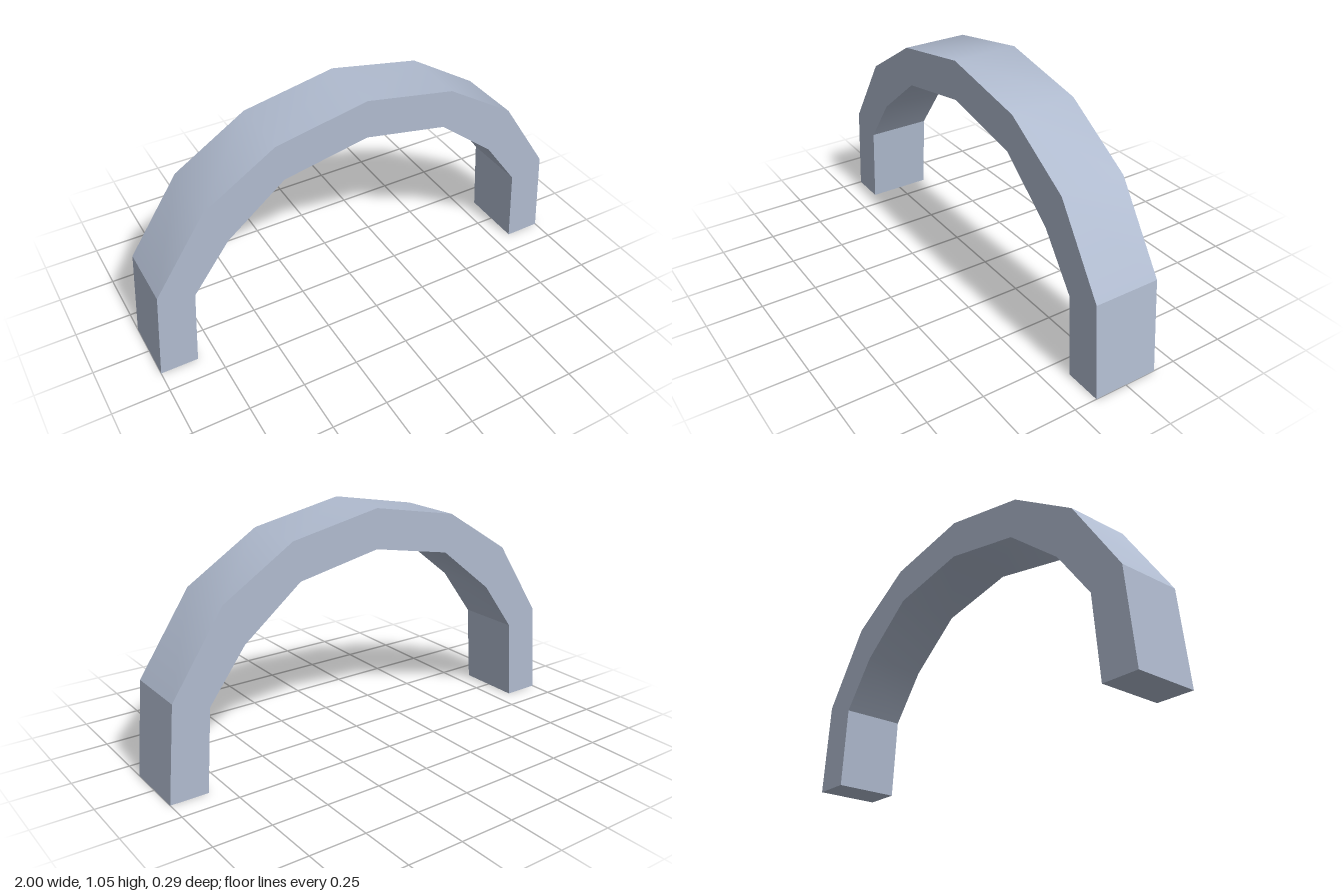
import * as THREE from 'three';

const HALF_DEPTH = 0.147;

// Right-hand half profiles, from foot to crown
const OUTER = [[1, 0], [0.963, 0.42], [0.732, 0.767], [0.411, 0.968], [0, 1.047]];
const INNER = [[0.833, 0], [0.806, 0.366], [0.642, 0.588], [0.38, 0.798], [0, 0.872]];

// Mirror a half profile into a full arch running from +x to -x
const fullArch = (half) => [...half, ...half.slice(0, -1).reverse().map(([x, y]) => [-x, y])];

// Band swept through the depth, smooth along its own points
function band(points) {
  const positions = [];
  const index = [];
  points.forEach(([x, y], i) => {
    positions.push(x, y, HALF_DEPTH, x, y, -HALF_DEPTH);
    if (i < points.length - 1) {
      const a = i * 2;
      index.push(a, a + 1, a + 2, a + 1, a + 3, a + 2);
    }
  });
  const geometry = new THREE.BufferGeometry();
  geometry.setAttribute('position', new THREE.Float32BufferAttribute(positions, 3));
  geometry.setIndex(index);
  geometry.computeVertexNormals();
  return geometry;
}

export function createModel() {
  const group = new THREE.Group();
  group.name = 'arch';
  const stone = new THREE.MeshStandardMaterial({ color: 0xb0bbcf });
  stone.name = 'blueGrey';

  const add = (name, geometry) => {
    const mesh = new THREE.Mesh(geometry, stone);
    mesh.name = name;
    group.add(mesh);
    return mesh;
  };

  const outer = fullArch(OUTER);
  const inner = fullArch(INNER).reverse();
  const last = outer.length - 1;

  // Curved crown, with a hard edge where each straight leg begins
  for (const [side, line] of [['outer', outer], ['inner', inner]]) {
    add(side + 'Crown', band(line.slice(1, -1)));
    add(side + 'LegStart', band(line.slice(0, 2)));
    add(side + 'LegEnd', band(line.slice(-2)));
  }

  // Undersides of the feet
  add('rightFoot', band([outer[last], inner[0]]));
  add('leftFoot', band([inner[last], outer[0]]));

  // Flat front and back faces
  const outline = [...outer, ...inner].map(([x, y]) => new THREE.Vector2(x, y));
  const face = new THREE.ShapeGeometry(new THREE.Shape(outline));
  add('frontFace', face).position.z = HALF_DEPTH;
  const back = add('backFace', face);
  back.position.z = -HALF_DEPTH;
  back.rotation.y = Math.PI;

  return group;
}
